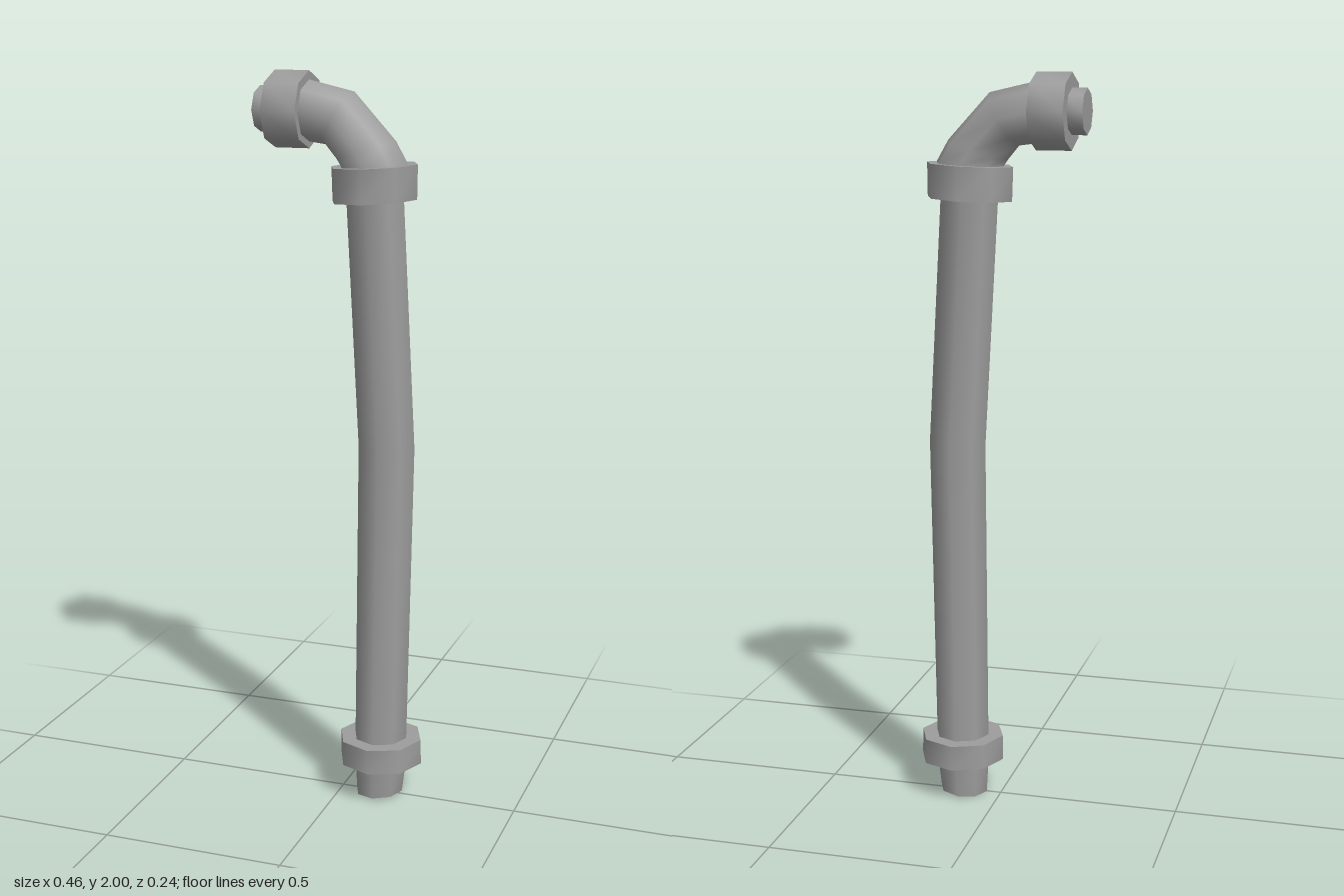
import * as THREE from 'three';

const SIDES = 8;

// Capped octagonal loft. Each section is [x, y, tilt, in-plane radius, z radius].
function loft(name, sections) {
  const pos = [], index = [];
  const addRing = ([x, y, t, ru, rz]) => {
    const start = pos.length / 3;
    for (let i = 0; i < SIDES; i++) {
      const a = (i / SIDES) * Math.PI * 2;
      const u = ru * Math.cos(a);
      pos.push(x + u * Math.cos(t), y + u * Math.sin(t), rz * Math.sin(a));
    }
    return start;
  };

  // Side walls share vertices so they shade smoothly
  const rings = sections.map(addRing);
  for (let j = 0; j < rings.length - 1; j++) {
    for (let i = 0; i < SIDES; i++) {
      const n = (i + 1) % SIDES;
      const a = rings[j] + i, b = rings[j] + n, c = rings[j + 1] + i, d = rings[j + 1] + n;
      index.push(a, c, b, b, c, d);
    }
  }

  // End caps have their own vertices to keep the rims sharp
  const first = addRing(sections[0]);
  const last = addRing(sections[sections.length - 1]);
  for (let i = 1; i < SIDES - 1; i++) {
    index.push(first, first + i, first + i + 1);
    index.push(last, last + i + 1, last + i);
  }

  const geo = new THREE.BufferGeometry();
  geo.setAttribute('position', new THREE.Float32BufferAttribute(pos, 3));
  geo.setIndex(index);
  geo.computeVertexNormals();
  const mesh = new THREE.Mesh(geo, new THREE.MeshStandardMaterial({ color: 0x9d9d9d }));
  mesh.name = name;
  return mesh;
}

export function createModel() {
  const group = new THREE.Group();
  group.name = 'bentPipe';
  const H = Math.PI / 2;

  group.add(
    // Long pipe, slightly bowed, tapering at the foot
    loft('mainPipe', [
      [0.108, 0.005, 0.07, 0.067, 0.068],
      [0.111, 0.11, 0, 0.076, 0.077],
      [0.111, 0.17, 0, 0.075, 0.076],
      [0.122, 1.01, 0.03, 0.079, 0.078],
      [0.085, 1.7, 0.06, 0.079, 0.078],
    ]),
    loft('lowerCollar', [
      [0.112, 0.102, 0, 0.118, 0.118],
      [0.111, 0.172, 0, 0.117, 0.118],
    ]),
    loft('upperCollar', [
      [0.085, 1.672, 0.05, 0.116, 0.117],
      [0.084, 1.762, 0.05, 0.118, 0.117],
    ]),
    // Elbow turning the pipe toward -x
    loft('elbow', [
      [0.083, 1.74, 0.06, 0.093, 0.094],
      [0.083, 1.764, 0.06, 0.092, 0.094],
      [0.062, 1.8, 0.3, 0.085, 0.087],
      [-0.01, 1.88, 1.04, 0.079, 0.083],
      [-0.11, 1.9, H, 0.08, 0.088],
    ]),
    loft('outletCollar', [
      [-0.095, 1.9, H, 0.1, 0.11],
      [-0.19, 1.9, H, 0.1, 0.11],
    ]),
    loft('outletNozzle', [
      [-0.18, 1.9, H, 0.06, 0.065],
      [-0.231, 1.9, H, 0.06, 0.065],
    ]),
  );
  return group;
}
